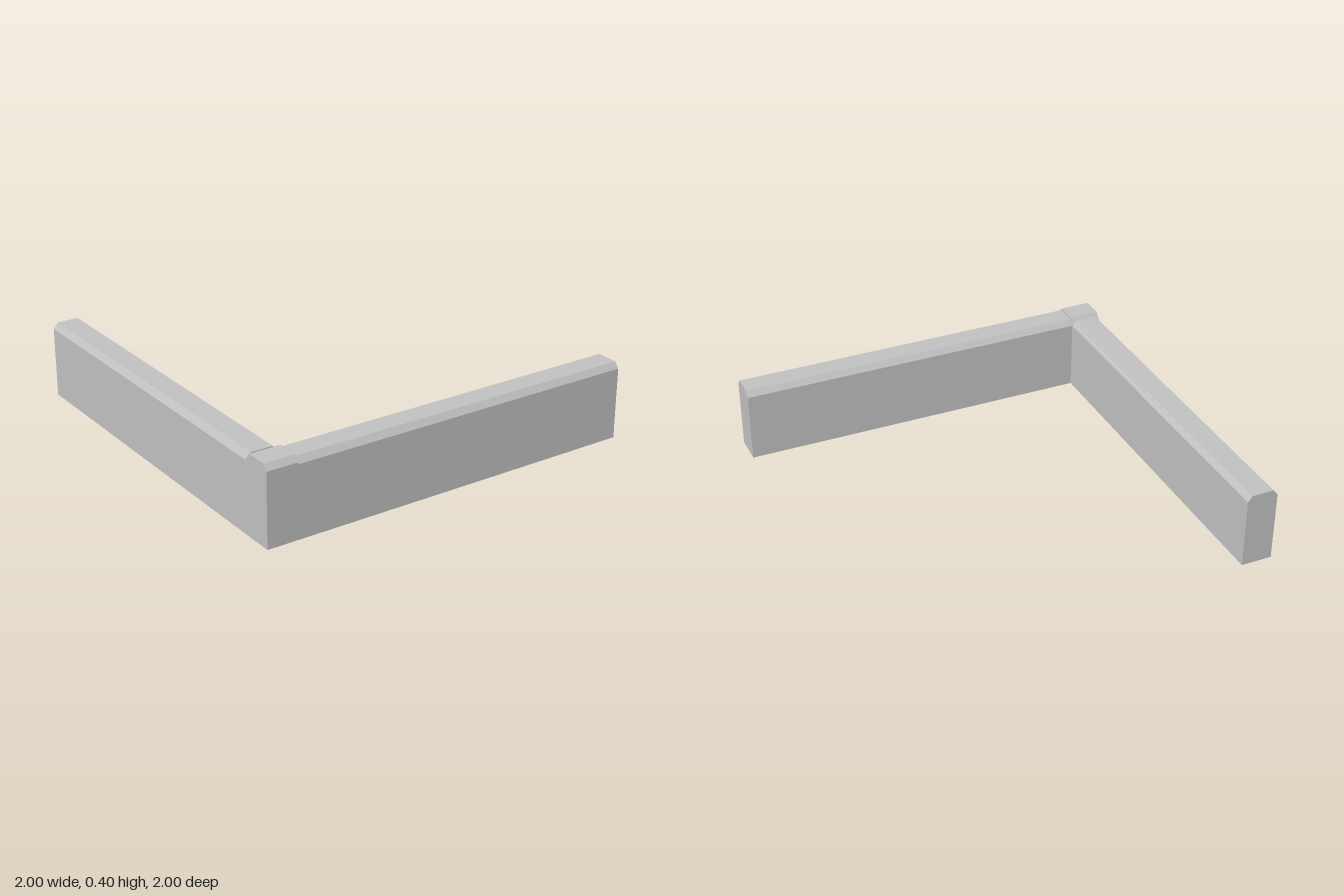
import * as THREE from 'three';

const WIDTH = 0.16;

// Wall section with both top edges bevelled, run along +z from the origin
function wallGeometry(height, length) {
  const h = WIDTH / 2, bevelX = 0.024, bevelY = 0.03;
  const section = new THREE.Shape([
    new THREE.Vector2(-h, 0),
    new THREE.Vector2(h, 0),
    new THREE.Vector2(h, height - bevelY),
    new THREE.Vector2(h - bevelX, height),
    new THREE.Vector2(-h + bevelX, height),
    new THREE.Vector2(-h, height - bevelY),
  ]);
  return new THREE.ExtrudeGeometry(section, { depth: length, bevelEnabled: false });
}

export function createModel() {
  const group = new THREE.Group();
  const stone = new THREE.MeshStandardMaterial({ color: 0xc0c0c0 });
  stone.name = 'greyStone';

  const add = (name, height, length, x, z, alongX) => {
    const mesh = new THREE.Mesh(wallGeometry(height, length), stone);
    mesh.name = name;
    mesh.position.set(x, 0, z);
    if (alongX) mesh.rotation.y = Math.PI / 2;
    group.add(mesh);
  };

  const mid = 1 - WIDTH / 2;
  // Two walls meeting at a slightly taller corner block
  add('frontWall', 0.393, 2 - WIDTH, -1 + WIDTH, mid, true);
  add('sideWall', 0.393, 2 - WIDTH, -mid, -1, false);
  add('cornerBlock', 0.402, WIDTH, -1, mid, true);

  return group;
}
